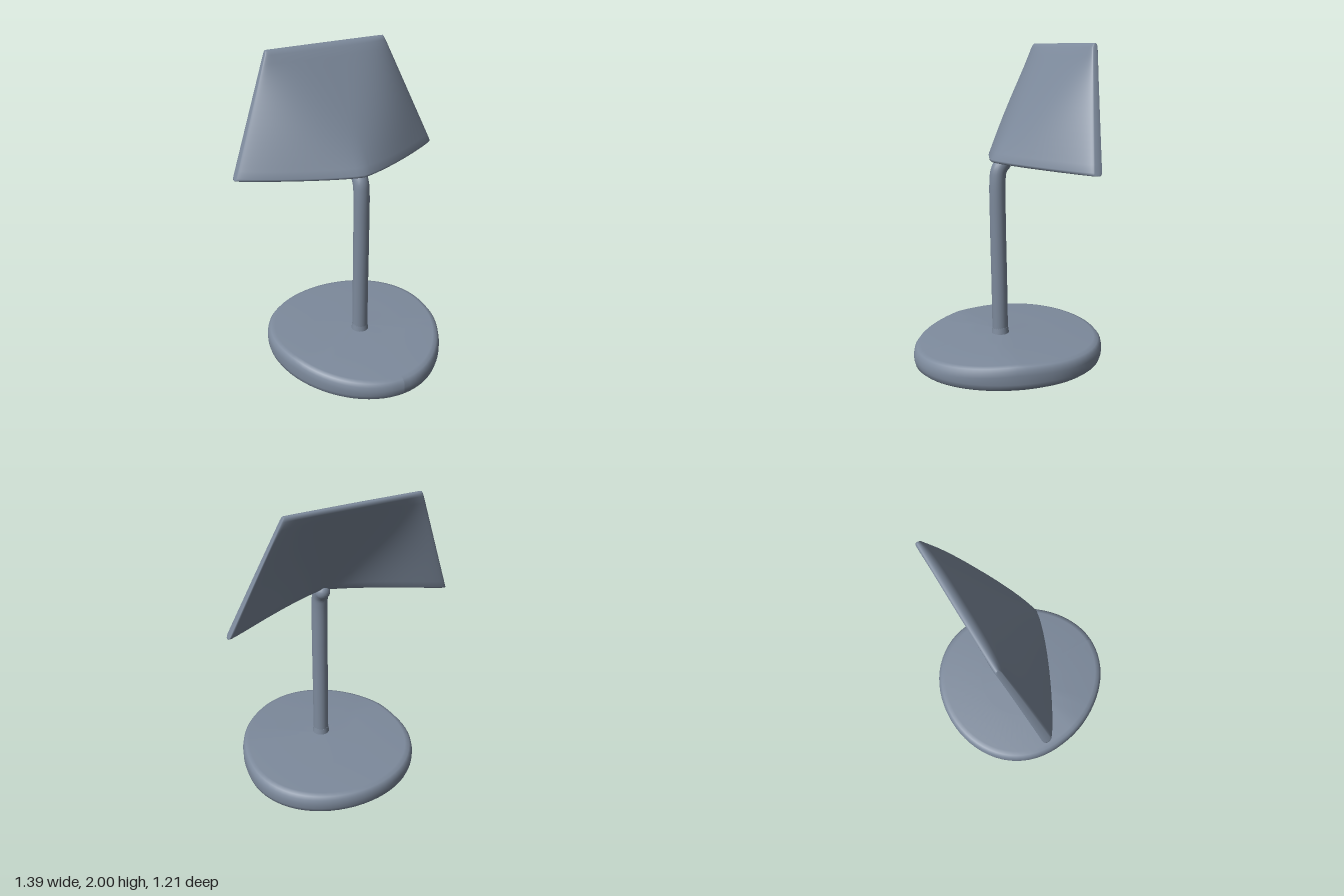
import * as THREE from 'three';

const finish = new THREE.MeshStandardMaterial({ color: 0x7d8a9c });
finish.name = 'slate grey';

function add(group, name, geometry) {
  const mesh = new THREE.Mesh(geometry, finish);
  mesh.name = name;
  group.add(mesh);
  return mesh;
}

// Egg-shaped disc with a rounded rim, fuller at the back and thinner towards the front
function baseGeometry() {
  const profile = [
    [0, 0], [0.55, 0], [0.575, 0.006], [0.594, 0.022], [0.602, 0.05], [0.603, 0.12],
    [0.597, 0.15], [0.582, 0.168], [0.555, 0.176], [0.3, 0.18], [0.1, 0.184], [0, 0.186],
  ].map(([r, y]) => new THREE.Vector2(r, y));
  const geo = new THREE.LatheGeometry(profile, 72);
  const p = geo.attributes.position;
  for (let i = 0; i < p.count; i++) {
    const z = p.getZ(i), y = p.getY(i);
    p.setX(i, p.getX(i) * 0.93 * (1 - (z < 0 ? 0.24 : 0.16) * z));
    const drop = y > 0.1 ? 0.1 * Math.max(0, z - 0.15) : 0;
    const lift = y < 0.1 ? 0.032 * (0.6 - z) : 0;
    p.setY(i, y - drop + lift);
  }
  geo.computeVertexNormals();
  return geo;
}

// Thick domed sheet: bowed to a point at the bottom edge, flattening to a straight top edge
function shadeGeometry() {
  const M = 96;
  // height and half thickness of each cross-section
  const rows = [[1.287, 0.028], [1.292, 0.041], [1.305, 0.05]];
  for (let i = 1; i < 16; i++) rows.push([1.305 + 0.665 * i / 16, 0.05 - 0.02 * i / 16]);
  rows.push([1.975, 0.029], [1.992, 0.021], [2, 0.008]);

  const pos = [], index = [];
  for (const [y, half] of rows) {
    const t = (y - 1.287) / 0.713;
    const width = THREE.MathUtils.lerp(0.695, 0.4, t);
    for (let k = 0; k < M; k++) {
      const a = (k / M) * Math.PI * 2;
      const u = Math.cos(a), s = Math.sin(a);
      const bow = -0.25 + 0.31 * (1 - Math.abs(u) ** (1.25 + 1.2 * t + 1.6 * t * t));
      const mid = THREE.MathUtils.lerp(bow, -0.378, t);
      pos.push(u * width, y, mid + Math.sign(s) * half * Math.abs(s) ** 0.3);
    }
  }
  const last = (rows.length - 1) * M;
  for (let r = 0; r < last; r += M) {
    for (let k = 0; k < M; k++) {
      const n = (k + 1) % M;
      index.push(r + k, r + M + k, r + n, r + n, r + M + k, r + M + n);
    }
  }
  // Close the bottom and top edges by joining front and back points
  for (let k = 0; k < M / 2; k++) {
    const a = k, b = k + 1, c = (M - k) % M, d = M - k - 1;
    index.push(a, b, c, b, d, c);
    index.push(last + a, last + c, last + b, last + b, last + c, last + d);
  }
  const geo = new THREE.BufferGeometry();
  geo.setAttribute('position', new THREE.Float32BufferAttribute(pos, 3));
  geo.setIndex(index);
  geo.computeVertexNormals();
  return geo;
}

export function createModel() {
  const lamp = new THREE.Group();
  lamp.name = 'deskLamp';

  add(lamp, 'base', baseGeometry());

  // Pole leans forward a little, then bends back under the shade
  const path = new THREE.CatmullRomCurve3([
    [0.15, 0.042], [0.5, 0.048], [0.9, 0.057], [1.18, 0.059], [1.24, 0.05], [1.28, 0.025],
  ].map(([y, z]) => new THREE.Vector3(0, y, z)));
  add(lamp, 'pole', new THREE.TubeGeometry(path, 60, 0.05, 20));
  add(lamp, 'poleEnd', new THREE.SphereGeometry(0.049, 20, 12)).position.set(0, 1.28, 0.02);

  // Small collar where the pole meets the base
  add(lamp, 'collar', new THREE.CylinderGeometry(0.05, 0.057, 0.05, 24)).position.set(0, 0.2, 0.042);

  add(lamp, 'shade', shadeGeometry());
  return lamp;
}
